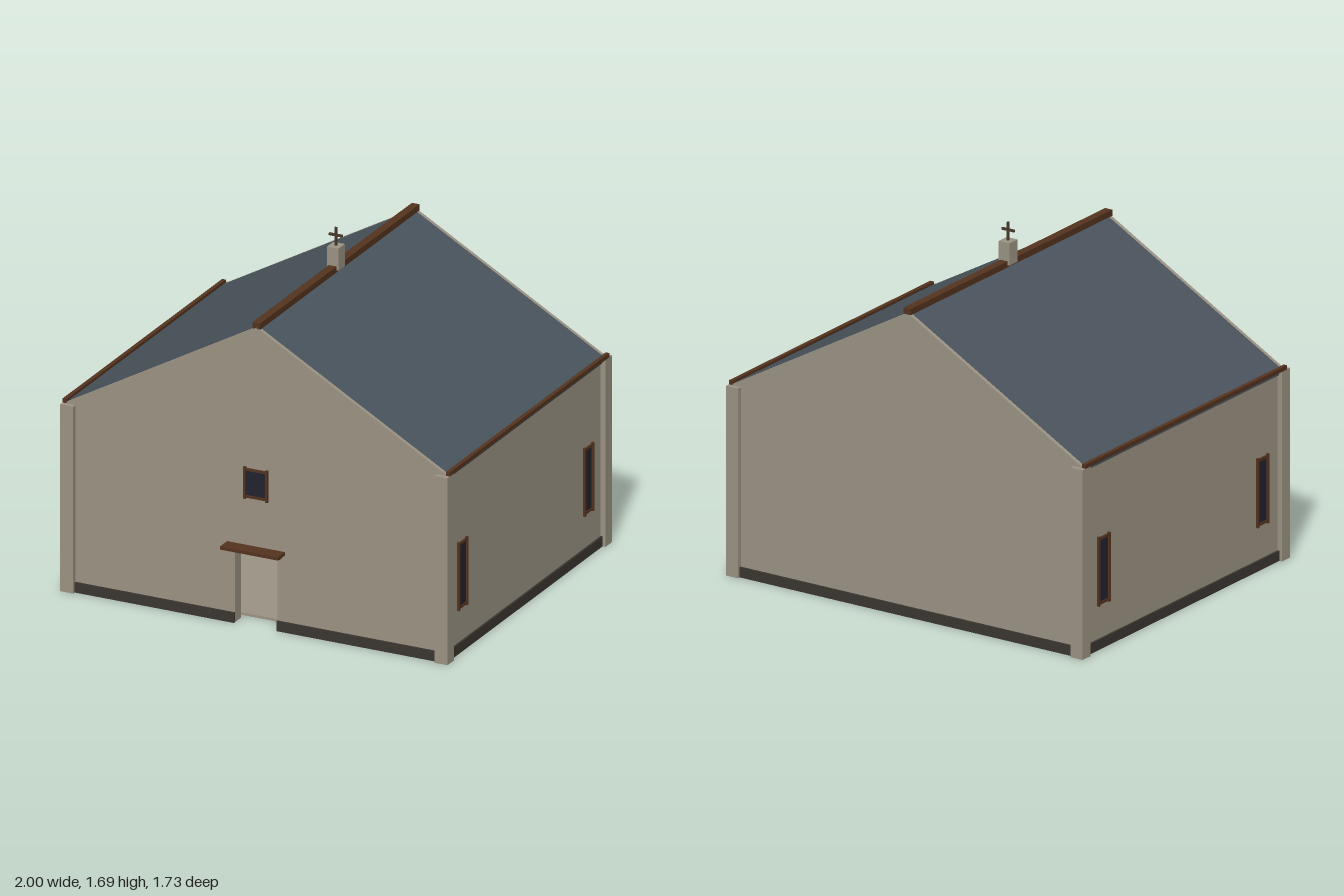
import * as THREE from 'three';

export function createModel() {
  const mat = (name, color, side = THREE.FrontSide) => {
    const m = new THREE.MeshStandardMaterial({ color, side });
    m.name = name;
    return m;
  };
  const plaster = mat('plaster', 0x9b9384);
  const slate = mat('slate', 0x4a545d);
  const wood = mat('brown wood', 0x54331f);
  const stone = mat('dark plinth stone', 0x3b3631);
  const glass = mat('dark glass', 0x22222e);
  const iron = mat('dark cross', 0x46382a);

  const model = new THREE.Group();
  model.name = 'chapel';
  const body = new THREE.Group();
  body.name = 'body';
  body.position.z = -0.025; // the door canopy sticks out in front
  model.add(body);

  const add = (name, geo, material, parent = body) => {
    const m = new THREE.Mesh(geo, material);
    m.name = name;
    parent.add(m);
    return m;
  };
  // Box given by its lower and upper limits on each axis
  const box = (name, material, x0, x1, y0, y1, z0, z1, parent) => {
    const g = new THREE.BoxGeometry(x1 - x0, y1 - y0, z1 - z0);
    g.translate((x0 + x1) / 2, (y0 + y1) / 2, (z0 + z1) / 2);
    return add(name, g, material, parent);
  };
  // Flat outline in x and y, pushed from z0 to z1
  const slab = (name, material, points, z0, z1) => {
    const shape = new THREE.Shape(points.map(p => new THREE.Vector2(...p)));
    const g = new THREE.ExtrudeGeometry(shape, { depth: z1 - z0, bevelEnabled: false });
    g.translate(0, 0, z0);
    return add(name, g, material);
  };

  const W = 0.975, D = 0.815, T = 0.065; // wall half width, half depth, thickness
  const H = 0.93, RIDGE = 1.488, EAVE = 0.935, DOOR = 0.11;

  // Walls, with the doorway cut from the front one
  slab('frontWall', plaster, [
    [-W, 0], [-DOOR, 0], [-DOOR, 0.365], [DOOR, 0.365], [DOOR, 0], [W, 0], [W, H], [-W, H],
  ], D - T, D);
  box('backWall', plaster, -W, W, 0, H, -D, -D + T);
  for (const s of [-1, 1]) {
    const x = s * (W - T / 2);
    box('sideWall', plaster, x - T / 2, x + T / 2, 0, H, -D + T, D - T);
  }
  box('floor', plaster, -0.88, 0.88, 0, 0.012, -0.72, 0.72);

  // Corner pillars
  for (const sx of [-1, 1]) for (const sz of [-1, 1]) {
    const x = sx * 0.966, z = sz * 0.807;
    box('cornerPillar', plaster, x - 0.034, x + 0.034, 0, H, z - 0.033, z + 0.033);
  }

  // Plinth, broken at the doorway
  const P = 0.01;
  box('backPlinth', stone, -0.935, 0.935, 0, 0.05, -D - P, -D + 0.01);
  for (const s of [-1, 1]) {
    const x = s * W, m = s * (DOOR + 0.935) / 2, h = (0.935 - DOOR) / 2;
    box('sidePlinth', stone, x - P, x + P, 0, 0.05, -0.776, 0.776);
    box('frontPlinth', stone, m - h, m + h, 0, 0.05, D - 0.01, D + P);
  }

  // Gables and the two roof slopes between them
  for (const s of [-1, 1]) {
    const z = s * (D - 0.01);
    slab('gable', plaster, [[-0.98, H], [0.98, H], [0.98, EAVE], [0, RIDGE], [-0.98, EAVE]], z - 0.01, z + 0.01);
  }
  slab('roof', slate, [
    [-0.983, 0.91], [-0.95, 0.91], [0, RIDGE - 0.03], [0.95, 0.91], [0.983, 0.91],
    [0.983, EAVE], [0, RIDGE], [-0.983, EAVE],
  ], -D + 0.02, D - 0.02);
  box('ridgeCap', wood, -0.02, 0.02, 1.48, 1.51, -D, D);
  for (const s of [-1, 1]) {
    box('eaveTrim', wood, s * 0.99 - 0.01, s * 0.99 + 0.01, 0.93, 0.95, -D, D);
  }

  // Framed window facing +z, w wide and h high over the outer frame
  const addWindow = (name, w, h, x, y, z, turn) => {
    const g = new THREE.Group();
    g.name = name;
    g.position.set(x, y, z);
    g.rotation.y = turn;
    body.add(g);
    const a = w / 2, b = h / 2, f = 0.012;
    box('pane', glass, -a + f, a - f, -b + f, b - f, -0.002, 0.004, g);
    for (const s of [-1, 1]) {
      const u = s * (a - f / 2), v = s * (b - f);
      box('windowPost', wood, u - f / 2, u + f / 2, -b, b, -0.005, 0.012, g);
      box('windowRail', wood, -a + f, a - f, v - f / 2, v + f / 2, -0.005, 0.009, g);
    }
  };
  addWindow('frontWindow', 0.126, 0.158, 0, 0.708, D, 0);
  for (const s of [-1, 1]) for (const z of [0.645, -0.64]) {
    addWindow('sideWindow', 0.094, 0.34, s * W, 0.382, z, s * Math.PI / 2);
  }

  // Door canopy
  box('canopyTop', wood, -0.15, 0.15, 0.382, 0.397, D - 0.01, 0.89);
  box('canopyBase', wood, -0.132, 0.132, 0.363, 0.382, D - 0.01, 0.838);

  // Ridge turret and cross
  box('turret', plaster, -0.03, 0.03, 1.49, 1.6, -0.032, 0.034);
  box('crossPost', iron, -0.005, 0.005, 1.6, 1.69, -0.004, 0.006);
  box('crossBar', iron, -0.035, 0.035, 1.646, 1.657, -0.004, 0.006);

  return model;
}
